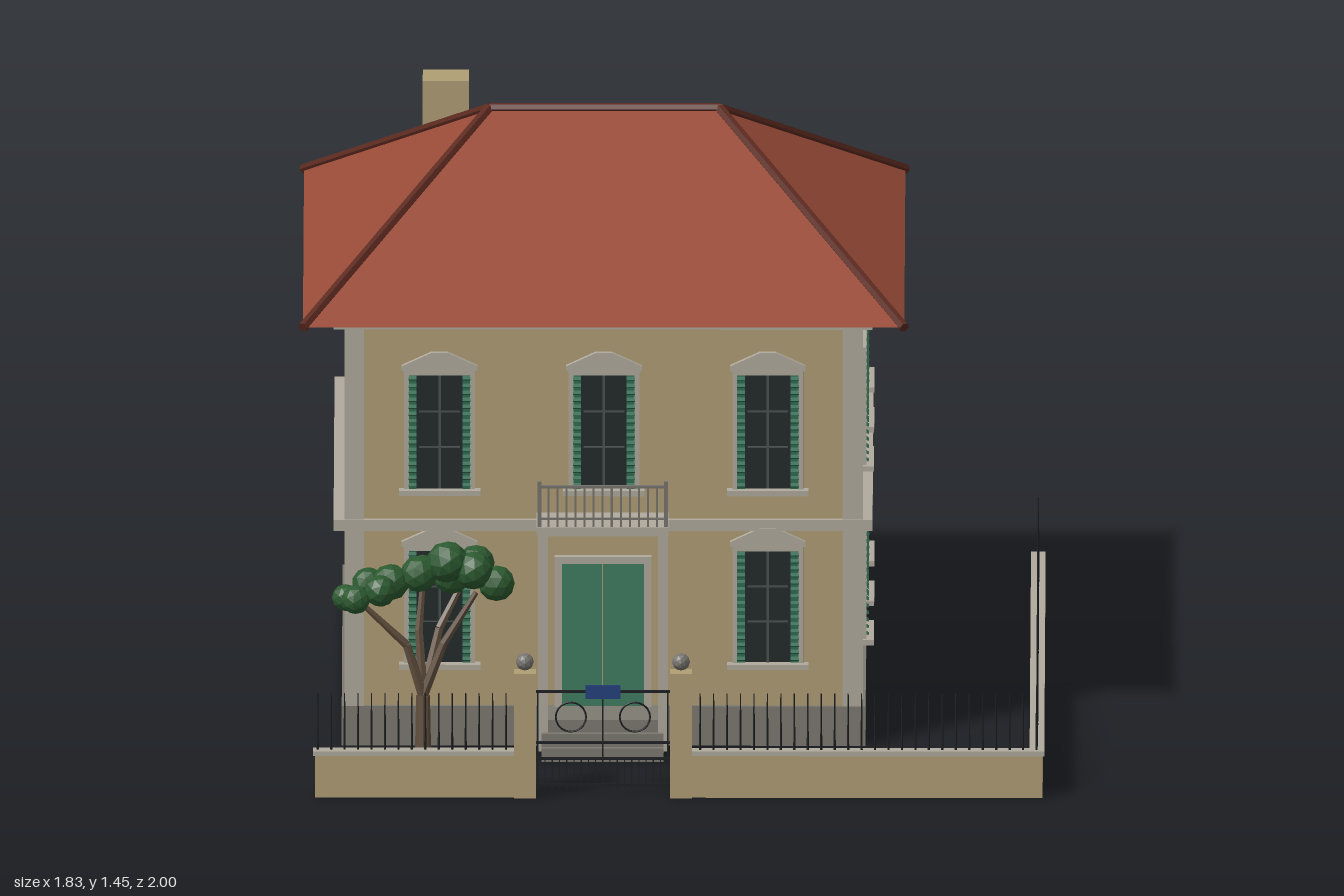
import * as THREE from 'three';
import { mergeGeometries } from 'three/addons/utils/BufferGeometryUtils.js';

const paint = (color) => {
  const m = new THREE.MeshStandardMaterial({ side: THREE.DoubleSide, flatShading: true });
  m.color.set(color);
  return m;
};
const M = {
  wall: paint(0xb09e74), trim: paint(0xb0aa9c), plinth: paint(0x7d7a72), roof: paint(0x9a4c38),
  ridge: paint(0x5c2a20), glass: paint(0x23292b), bar: paint(0x4a5250), shutter: paint(0x2f6b50),
  door: paint(0x3f7d60), iron: paint(0x1d1f22), rail: paint(0x77746e), sign: paint(0x24407c),
  bark: paint(0x62503f), leaf: paint(0x2c5a30),
};

// Box geometry given by its limits on each axis
function slab(x0, x1, y0, y1, z0, z1) {
  return new THREE.BoxGeometry(x1 - x0, y1 - y0, z1 - z0)
    .translate((x0 + x1) / 2, (y0 + y1) / 2, (z0 + z1) / 2);
}
function add(parent, name, mat, ...geos) {
  const mesh = new THREE.Mesh(geos.length > 1 ? mergeGeometries(geos) : geos[0], mat);
  mesh.name = name;
  parent.add(mesh);
  return mesh;
}
function group(parent, name) {
  const g = new THREE.Group();
  g.name = name;
  parent.add(g);
  return g;
}
// Round rod between two points
function rod(a, b, r0, r1 = r0, sides = 6) {
  const d = b.clone().sub(a);
  const q = new THREE.Quaternion().setFromUnitVectors(new THREE.Vector3(0, 1, 0), d.clone().normalize());
  return new THREE.CylinderGeometry(r1, r0, d.length(), sides)
    .applyQuaternion(q).translate(...a.clone().add(b).multiplyScalar(0.5).toArray());
}
const V = (x, y, z) => new THREE.Vector3(x, y, z);

// Window facing +z, origin at the middle of its lower edge
function makeWindow(parent, h, pediment) {
  const g = group(parent, 'window'), w = 0.087, t = 0.012;
  add(g, 'glass', M.glass, slab(-w, w, 0, h, -0.004, 0.003));
  add(g, 'windowFrame', M.trim,
    slab(-w, -w + t, 0, h, 0, 0.012), slab(w - t, w, 0, h, 0, 0.012), slab(-w, w, h - t, h, 0, 0.012));
  add(g, 'glazingBars', M.bar, slab(-0.003, 0.003, 0, h - t, 0, 0.006),
    ...[0.35, 0.65].map((f) => slab(-0.05, 0.05, h * f - 0.002, h * f + 0.002, 0, 0.005)));
  add(g, 'sill', M.trim, slab(-0.1, 0.1, -0.013, 0, 0, 0.03));
  // Folded louvred shutters on both sides
  const slats = [];
  for (const s of [-1, 1]) {
    for (let i = 0; i < 16; i++) {
      slats.push(new THREE.BoxGeometry(0.02, 0.003, 0.016).rotateX(0.6)
        .translate(s * (w - t - 0.009), 0.012 + i * (h - 0.03) / 15, 0.01));
    }
    slats.push(slab(s * (w - t - 0.009) - 0.01, s * (w - t - 0.009) + 0.01, 0, h - t, 0, 0.008));
  }
  add(g, 'shutters', M.shutter, ...slats);
  if (pediment) {
    const shape = new THREE.Shape([[-0.093, 0], [0.093, 0], [0.093, 0.012], [0.02, 0.046], [-0.02, 0.046], [-0.093, 0.012]]
      .map((p) => new THREE.Vector2(...p)));
    add(g, 'pediment', M.trim, new THREE.ExtrudeGeometry(shape, { depth: 0.016, bevelEnabled: false })).position.y = h;
  }
  return g;
}

function makeHouse(root) {
  const g = group(root, 'house');
  add(g, 'walls', M.wall, slab(-0.8, 0.465, 0.1, 1.075, -0.9, 0.47));
  add(g, 'plinth', M.plinth, slab(-0.81, 0.475, 0, 0.1, -0.91, 0.48));
  add(g, 'stringCourse', M.trim, slab(-0.83, 0.492, 0.545, 0.573, -0.92, 0.485));
  add(g, 'cornice', M.trim, slab(-0.83, 0.492, 1.055, 1.083, -0.92, 0.485));
  add(g, 'cornerPilasters', M.trim,
    slab(-0.803, -0.755, 0.1, 1.06, 0.46, 0.48), slab(0.418, 0.469, 0.1, 1.06, 0.46, 0.48));
  // Windows on the front and on the left side only
  for (const x of [-0.57, -0.167, 0.235]) {
    makeWindow(g, 0.3, true).position.set(x, 0.65, 0.47);
    if (x !== -0.167) makeWindow(g, 0.295, true).position.set(x, 0.21, 0.47);
  }
  for (const z of [0.165, -0.22, -0.61]) {
    for (const y of [0.212, 0.652]) {
      const win = makeWindow(g, 0.298, false);
      win.position.set(0.465, y, z);
      win.rotation.y = Math.PI / 2;
    }
  }
  // Hipped roof
  const c = [V(-0.905, 1.08, 0.56), V(0.57, 1.08, 0.56), V(0.57, 1.08, -0.995), V(-0.905, 1.08, -0.995)];
  const a = V(-0.45, 1.435, -0.215), b = V(0.115, 1.435, -0.215);
  const tris = [c[0], c[1], b, c[0], b, a, c[1], c[2], b, c[2], c[3], a, c[2], a, b, c[3], c[0], a,
    c[0], c[2], c[1], c[0], c[3], c[2]];
  const roof = new THREE.BufferGeometry().setFromPoints(tris);
  roof.computeVertexNormals();
  add(g, 'roof', M.roof, roof);
  add(g, 'ridgeTiles', M.ridge,
    ...[[c[0], a], [c[3], a], [c[1], b], [c[2], b], [a, b]].map(([p, q]) => rod(p, q, 0.013)));
  add(g, 'chimney', M.wall, slab(-0.613, -0.5, 1.15, 1.435, -0.595, -0.48));
}

function makePorch(root) {
  const g = group(root, 'porch');
  add(g, 'steps', M.plinth, slab(-0.32, -0.02, 0, 0.035, 0.47, 0.642),
    slab(-0.32, -0.02, 0, 0.068, 0.47, 0.63), slab(-0.32, -0.02, 0, 0.1, 0.47, 0.615));
  add(g, 'columns', M.trim, ...[-0.316, -0.022].flatMap((x) => [
    slab(x - 0.012, x + 0.012, 0.02, 0.575, 0.592, 0.616),
    slab(x - 0.012, x + 0.012, 0.02, 0.575, 0.47, 0.485)]));
  add(g, 'balcony', M.trim, slab(-0.332, -0.008, 0.565, 0.588, 0.47, 0.617));
  // Balustrade along the balcony front
  const bars = [slab(-0.328, -0.012, 0.685, 0.692, 0.604, 0.612), slab(-0.328, -0.012, 0.605, 0.61, 0.605, 0.611)];
  for (let i = 0; i <= 14; i++) {
    const x = -0.325 + i * 0.0222, r = i % 14 ? 0.0025 : 0.005;
    bars.push(slab(x - r, x + r, 0.588, i % 14 ? 0.69 : 0.702, 0.608 - r, 0.608 + r));
  }
  add(g, 'balustrade', M.rail, ...bars);
  add(g, 'doorFrame', M.trim, slab(-0.288, -0.27, 0.1, 0.475, 0.47, 0.487),
    slab(-0.068, -0.05, 0.1, 0.475, 0.47, 0.487), slab(-0.288, -0.05, 0.462, 0.48, 0.47, 0.487));
  add(g, 'door', M.door, slab(-0.27, -0.172, 0.1, 0.462, 0.468, 0.478), slab(-0.169, -0.068, 0.1, 0.462, 0.468, 0.478));
}

function makeFence(root) {
  const g = group(root, 'fence');
  add(g, 'fenceWall', M.wall, slab(-0.875, -0.36, 0, 0.11, 0.96, 0.99), slab(0.025, 0.91, 0, 0.11, 0.96, 0.99),
    slab(0.882, 0.91, 0, 0.11, -0.965, 0.96));
  add(g, 'coping', M.trim, slab(-0.88, -0.36, 0.106, 0.118, 0.957, 0.993), slab(0.025, 0.914, 0.106, 0.118, 0.957, 0.993),
    slab(0.878, 0.914, 0.106, 0.118, -0.97, 0.957));
  // Iron pickets
  const pickets = [];
  const picket = (x, z) => pickets.push(new THREE.CylinderGeometry(0.0015, 0.003, 0.145, 5).translate(x, 0.188, z));
  for (let x = -0.868; x < -0.39; x += 0.033) picket(x, 0.975);
  for (let x = 0.07; x < 0.9; x += 0.033) picket(x, 0.975);
  for (let z = 0.94; z > -0.96; z -= 0.035) picket(0.896, z);
  add(g, 'pickets', M.iron, ...pickets);
  // Gate posts with ball finials
  for (const x of [-0.36, 0.023]) {
    add(g, 'gatePost', M.wall, slab(x - 0.027, x + 0.027, 0, 0.315, 0.948, 0.998));
    add(g, 'finial', M.rail, new THREE.IcosahedronGeometry(0.022, 1).translate(x, 0.34, 0.973));
  }
  // Iron gate with rings
  const parts = [0.028, 0.095, 0.135, 0.265].map((y) => slab(-0.335, -0.003, y - 0.003, y + 0.003, 0.97, 0.976));
  for (let i = 0; i <= 18; i++) {
    const x = -0.328 + i * 0.0177, tall = i % 9 === 0;
    parts.push(slab(x - 0.0015, x + 0.0015, 0.018, tall ? 0.268 : 0.095, 0.9715, 0.9745));
  }
  for (const x of [-0.247, -0.09]) parts.push(new THREE.TorusGeometry(0.037, 0.0025, 5, 20).translate(x, 0.2, 0.973));
  add(g, 'gate', M.iron, ...parts);
  add(g, 'gatePlate', M.sign, slab(-0.211, -0.125, 0.25, 0.284, 0.984, 0.99));
}

function makeTree(root) {
  const g = group(root, 'tree');
  const fork = V(-0.61, 0.2, 0.76);
  add(g, 'trunk', M.bark, rod(V(-0.61, 0, 0.76), fork, 0.021, 0.017, 8));
  // Each branch bends from the fork out to the crown
  const branches = [
    [V(-0.65, 0.33, 0.77), V(-0.75, 0.43, 0.79)], [V(-0.62, 0.36, 0.74), V(-0.61, 0.48, 0.72)],
    [V(-0.56, 0.33, 0.76), V(-0.48, 0.46, 0.76)], [V(-0.57, 0.36, 0.72), V(-0.5, 0.49, 0.67)],
  ];
  for (const [mid, tip] of branches) add(g, 'branch', M.bark, rod(fork, mid, 0.014, 0.011), rod(mid, tip, 0.011, 0.007));
  // Leaf clumps: x, y, z, radius
  const clumps = [
    [-0.8, 0.455, 0.79, 0.034], [-0.745, 0.48, 0.745, 0.04], [-0.715, 0.485, 0.84, 0.04], [-0.775, 0.465, 0.85, 0.036],
    [-0.69, 0.49, 0.775, 0.046], [-0.61, 0.5, 0.69, 0.038], [-0.62, 0.51, 0.77, 0.046], [-0.55, 0.54, 0.77, 0.052],
    [-0.54, 0.49, 0.715, 0.045], [-0.48, 0.51, 0.665, 0.046], [-0.485, 0.52, 0.775, 0.048], [-0.43, 0.485, 0.765, 0.045]];
  clumps.forEach(([x, y, z, r], i) =>
    add(g, 'leafClump', M.leaf, new THREE.IcosahedronGeometry(r, 1).rotateY(i).translate(x, y, z)));
}

export function createModel() {
  const root = new THREE.Group();
  root.name = 'villa';
  makeHouse(root);
  makePorch(root);
  makeFence(root);
  makeTree(root);
  return root;
}
